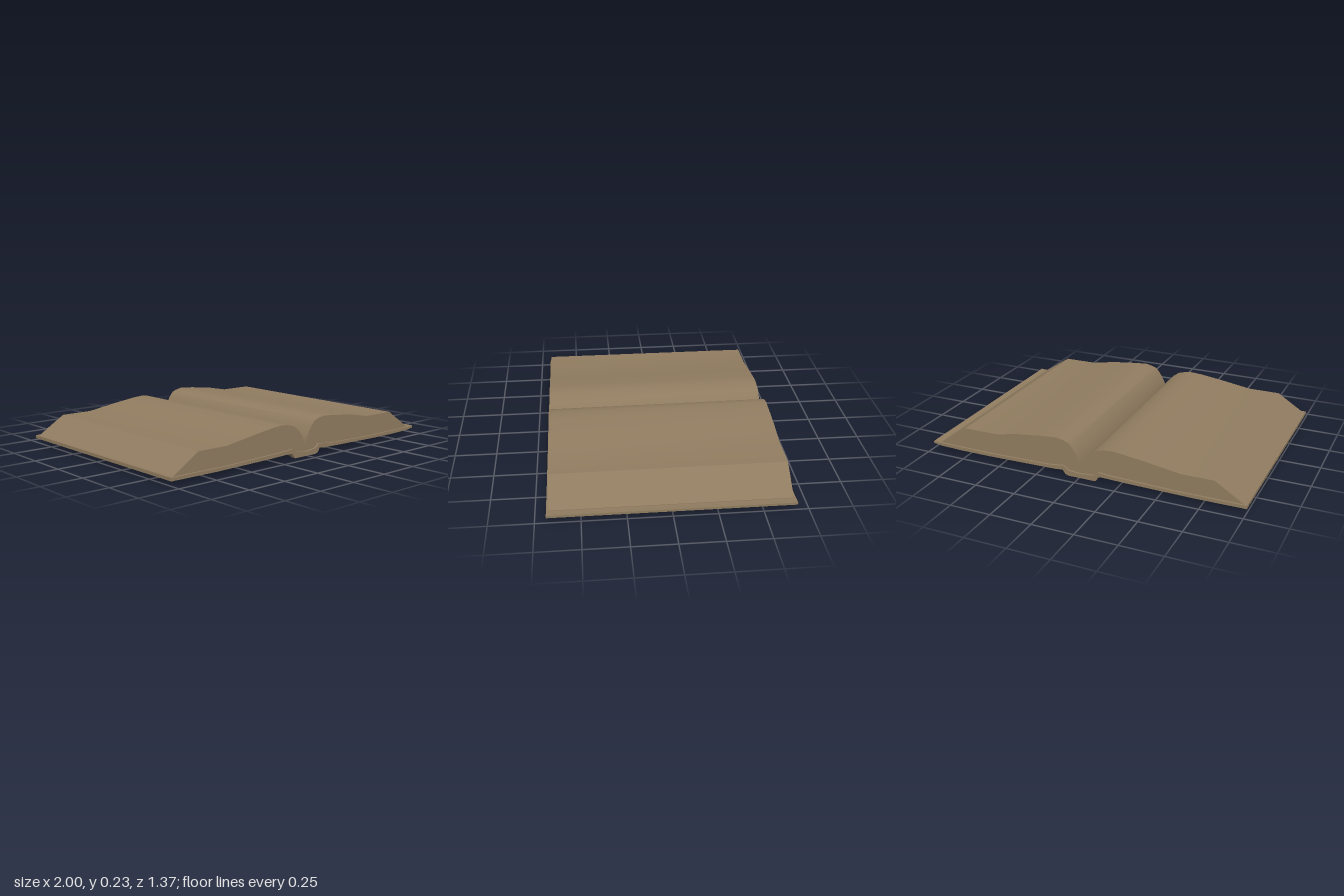
import * as THREE from 'three';
import { toCreasedNormals } from 'three/addons/utils/BufferGeometryUtils.js';

const leather = new THREE.MeshStandardMaterial({ color: 0x8f7b5f });
leather.name = 'agedBrown';

// Extrude an x-y outline along z, centred on z = 0
function slab(name, points, depth, tilt = 0) {
  const shape = new THREE.Shape(points.map(([x, y]) => new THREE.Vector2(x, y)));
  const geo = new THREE.ExtrudeGeometry(shape, { depth, bevelEnabled: false });
  geo.translate(0, 0, -depth / 2);
  // Raise the thick part of a page block slightly toward the back
  const p = geo.attributes.position;
  for (let i = 0; i < p.count; i++) {
    const lift = Math.max(0, p.getY(i) - 0.07) / 0.15;
    p.setY(i, p.getY(i) - tilt * lift * p.getZ(i));
  }
  const mesh = new THREE.Mesh(toCreasedNormals(geo, 0.5), leather);
  mesh.name = name;
  return mesh;
}

export function createModel() {
  const book = new THREE.Group();
  book.name = 'openBook';

  // Cover boards joined by the dropped spine
  const underside = [
    [-1, 0.025], [-0.7, 0.023], [-0.3, 0.028], [-0.135, 0.033], [-0.122, 0.03], [-0.1, 0.009],
    [0.072, 0.009], [0.09, 0.016], [0.105, 0.033], [0.15, 0.027], [0.6, 0.019], [0.8, 0.019],
    [0.94, 0.023], [1, 0.031],
  ];
  const topside = [
    [1, 0.045], [0.94, 0.041], [0.6, 0.038], [0.2, 0.046], [0.1, 0.058], [0.07, 0.034],
    [0, 0.026], [-0.09, 0.034], [-0.12, 0.058], [-0.2, 0.052], [-0.6, 0.042], [-1, 0.044],
  ];
  book.add(slab('cover', [...underside, ...topside], 1.374));

  // Page blocks either side of the gutter
  book.add(slab('rightPages', [
    [-0.98, 0.035], [-0.12, 0.045], [-0.08, 0.022], [-0.01, 0.018], [-0.01, 0.065],
    [-0.03, 0.115], [-0.06, 0.158], [-0.1, 0.186], [-0.15, 0.2], [-0.2, 0.205],
    [-0.27, 0.199], [-0.4, 0.182], [-0.61, 0.15], [-0.81, 0.15], [-0.98, 0.043],
  ], 1.348));
  book.add(slab('leftPages', [
    [-0.01, 0.018], [0.06, 0.022], [0.1, 0.045], [0.95, 0.03], [0.95, 0.045],
    [0.77, 0.165], [0.55, 0.166], [0.4, 0.195], [0.25, 0.212], [0.15, 0.221],
    [0.1, 0.211], [0.07, 0.199], [0.045, 0.17], [0.02, 0.13], [-0.01, 0.065],
  ], 1.348, 0.006));

  // Raised bands under the spine
  for (const z of [0.673, 0.395, 0.152, -0.094, -0.34, -0.673]) {
    const band = slab('spineBand', [
      [-0.125, 0.034], [-0.105, 0.003], [-0.098, 0], [0.07, 0], [0.09, 0.008],
      [0.108, 0.034], [0.09, 0.026], [0.07, 0.014], [-0.098, 0.014],
    ], 0.028);
    band.position.z = z;
    book.add(band);
  }
  return book;
}
